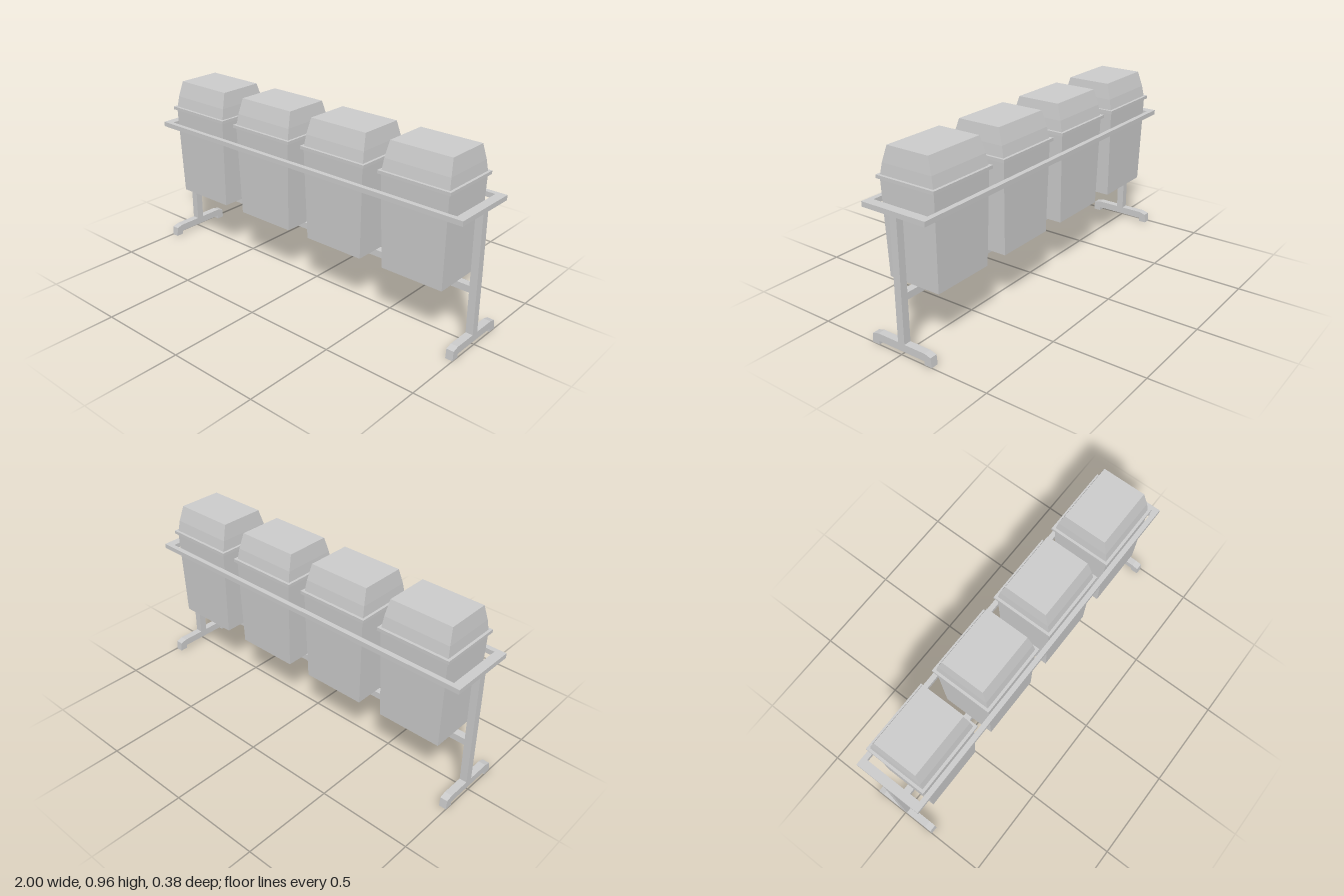
import * as THREE from 'three';

const material = new THREE.MeshStandardMaterial({ color: 0xcccccc, flatShading: true });

function add(parent, name, geometry, x = 0, y = 0, z = 0) {
  const mesh = new THREE.Mesh(geometry, material);
  mesh.name = name;
  mesh.position.set(x, y, z);
  parent.add(mesh);
  return mesh;
}

// Closed solid through rectangular sections [y, halfWidth, halfDepth], bottom to top
function loft(sections) {
  const rings = sections.map(([y, w, d]) => [[-w, y, d], [w, y, d], [w, y, -d], [-w, y, -d]]);
  const points = [];
  const quad = (a, b, c, d) => points.push(...a, ...b, ...c, ...a, ...c, ...d);
  for (let i = 0; i < rings.length - 1; i++) {
    for (let j = 0; j < 4; j++) {
      const k = (j + 1) % 4;
      quad(rings[i][j], rings[i][k], rings[i + 1][k], rings[i + 1][j]);
    }
  }
  const bottom = rings[0], top = rings[rings.length - 1];
  quad(bottom[3], bottom[2], bottom[1], bottom[0]);
  quad(top[0], top[1], top[2], top[3]);
  const geometry = new THREE.BufferGeometry();
  geometry.setAttribute('position', new THREE.Float32BufferAttribute(points, 3));
  geometry.computeVertexNormals();
  return geometry;
}

// Rectangular ring used for the upper frame, laid flat
function frameGeometry() {
  const rect = (path, w, d) => {
    path.moveTo(-w, -d);
    path.lineTo(w, -d);
    path.lineTo(w, d);
    path.lineTo(-w, d);
    path.closePath();
    return path;
  };
  const shape = rect(new THREE.Shape(), 1, 0.188);
  shape.holes.push(rect(new THREE.Path(), 0.952, 0.161));
  return new THREE.ExtrudeGeometry(shape, { depth: 0.026, bevelEnabled: false }).rotateX(-Math.PI / 2);
}

// Foot profile with sloping toes and raised middle, extruded along x
function footGeometry() {
  const half = [[0.143, 0.02], [0.143, 0], [0.186, 0], [0.181, 0.05], [0.145, 0.06]];
  const mirrored = half.map(([z, y]) => [-z, y]).reverse();
  const shape = new THREE.Shape([...half, ...mirrored].map(([z, y]) => new THREE.Vector2(z, y)));
  return new THREE.ExtrudeGeometry(shape, { depth: 0.04, bevelEnabled: false })
    .translate(0, 0, -0.02)
    .rotateY(Math.PI / 2);
}

function createBin() {
  const bin = new THREE.Group();
  bin.name = 'bin';
  add(bin, 'binBody', loft([[0.314, 0.173, 0.149], [0.806, 0.186, 0.16]]));
  add(bin, 'binRim', new THREE.BoxGeometry(0.4, 0.017, 0.344), 0, 0.814, 0);
  add(bin, 'binLid', loft([[0.822, 0.186, 0.157], [0.88, 0.181, 0.146], [0.963, 0.17, 0.121]]));
  return bin;
}

export function createModel() {
  const model = new THREE.Group();
  model.name = 'binStation';

  // Stand
  add(model, 'upperFrame', frameGeometry(), 0, 0.692, 0);
  add(model, 'lowerBeam', new THREE.BoxGeometry(1.92, 0.036, 0.04), 0, 0.295, -0.002);
  for (const side of [-1, 1]) {
    add(model, 'post', new THREE.BoxGeometry(0.04, 0.632, 0.04), side * 0.98, 0.376, -0.002);
    add(model, 'foot', footGeometry(), side * 0.98, 0, 0);
  }

  // Row of four lidded bins
  for (let i = 0; i < 4; i++) {
    const bin = createBin();
    bin.position.x = -0.723 + i * 0.481;
    model.add(bin);
  }
  return model;
}
